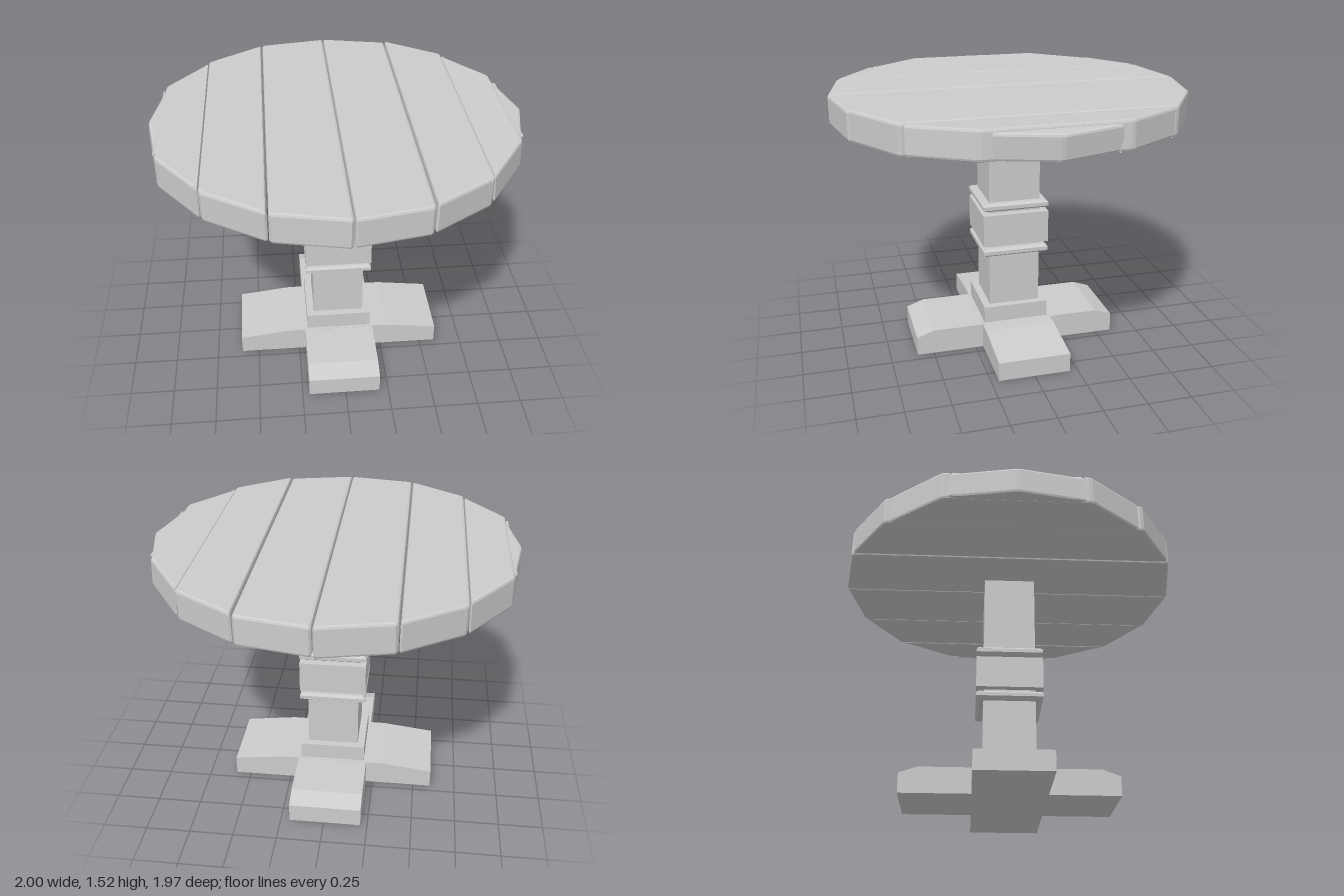
import * as THREE from 'three';

const material = new THREE.MeshStandardMaterial({ color: 0xcccccc, flatShading: true });

function addMesh(group, name, geometry) {
  const mesh = new THREE.Mesh(geometry, material);
  mesh.name = name;
  group.add(mesh);
  return mesh;
}

// Cut every corner of a plan polygon so the upright edges are eased too
function easedShape(corners, cut) {
  const pts = corners.map(([x, z]) => new THREE.Vector2(x, z));
  const eased = [];
  pts.forEach((p, i) => {
    for (const q of [pts.at(i - 1), pts[(i + 1) % pts.length]]) {
      eased.push(p.clone().add(q.clone().sub(p).setLength(cut)));
    }
  });
  return new THREE.Shape(eased);
}

// Bevelled board lying flat, centred on its own middle so it can be rolled slightly
function addPlank(group, { x0, z0, x1, z1, y0, y1, roll }) {
  const mid = (x0 + x1) / 2, half = (x1 - x0) / 2, bevel = 0.014;
  const corners = [];
  if (z0 > 0) corners.push([-half, z0], [-half, -z0]);
  else corners.push([-half, 0]);
  if (z1 > 0) corners.push([half, -z1], [half, z1]);
  else corners.push([half, 0]);
  const depth = y1 - y0;
  const geometry = new THREE.ExtrudeGeometry(easedShape(corners, 0.012), {
    depth: depth - 2 * bevel, bevelThickness: bevel, bevelSize: bevel,
    bevelOffset: -bevel, bevelSegments: 2,
  });
  geometry.translate(0, 0, bevel - depth / 2).rotateX(-Math.PI / 2);
  const mesh = addMesh(group, 'plank', geometry);
  mesh.position.set(mid, (y0 + y1) / 2, 0);
  mesh.rotation.z = roll;
}

// Square turned section from [half width, height] pairs, bottom to top
function addSquareSection(group, name, profile) {
  const points = profile.map(([w, y]) => new THREE.Vector2(w * Math.SQRT2, y));
  const geometry = new THREE.LatheGeometry(points, 4).rotateY(Math.PI / 4);
  addMesh(group, name, geometry);
}

// Foot beam with sloping ends, running along x
function footBeam(length, width, flat, endHeight, height) {
  const shape = new THREE.Shape([
    [-length, 0], [length, 0], [length, endHeight],
    [flat, height], [-flat, height], [-length, endHeight],
  ].map(([x, y]) => new THREE.Vector2(x, y)));
  return new THREE.ExtrudeGeometry(shape, { depth: 2 * width, bevelEnabled: false })
    .translate(0, 0, -width);
}

export function createModel() {
  const model = new THREE.Group();
  model.name = 'roundTable';

  // Round top of eight boards, each a little uneven
  const top = new THREE.Group();
  top.name = 'tableTop';
  const planks = [
    { x0: -1, z0: 0, x1: -0.935, z1: 0.37, y0: 1.355, y1: 1.512, roll: -0.03 },
    { x0: -0.935, z0: 0.39, x1: -0.71, z1: 0.685, y0: 1.347, y1: 1.52, roll: -0.02 },
    { x0: -0.705, z0: 0.705, x1: -0.393, z1: 0.91, y0: 1.353, y1: 1.52, roll: 0.008 },
    { x0: -0.387, z0: 0.915, x1: -0.008, z1: 0.988, y0: 1.351, y1: 1.518, roll: -0.014 },
    { x0: -0.002, z0: 0.988, x1: 0.372, z1: 0.915, y0: 1.353, y1: 1.515, roll: -0.006 },
    { x0: 0.378, z0: 0.912, x1: 0.692, z1: 0.705, y0: 1.355, y1: 1.52, roll: -0.014 },
    { x0: 0.697, z0: 0.69, x1: 0.915, z1: 0.375, y0: 1.363, y1: 1.517, roll: 0.055 },
    { x0: 0.915, z0: 0.33, x1: 0.997, z1: 0, y0: 1.365, y1: 1.502, roll: -0.08 },
  ];
  planks.forEach((plank) => addPlank(top, plank));
  model.add(top);

  // Square pedestal
  const pedestal = new THREE.Group();
  pedestal.name = 'pedestal';
  addSquareSection(pedestal, 'post', [[0.148, 0.2], [0.148, 1.37]]);
  addSquareSection(pedestal, 'plinth', [[0, 0.11], [0.19, 0.11], [0.19, 0.245], [0, 0.245]]);
  addSquareSection(pedestal, 'collar', [[0.14, 0.63], [0.19, 0.63], [0.19, 0.817], [0.14, 0.817]]);
  for (const y of [0.562, 0.836]) {
    addSquareSection(pedestal, 'collarRing', [
      [0.14, y], [0.172, y], [0.19, y + 0.013], [0.19, y + 0.034],
      [0.176, y + 0.046], [0.14, y + 0.046],
    ]);
  }
  pedestal.position.x = -0.006;
  model.add(pedestal);

  // Crossed feet
  const feet = new THREE.Group();
  feet.name = 'crossFeet';
  addMesh(feet, 'sideFootBeam', footBeam(0.595, 0.205, 0.29, 0.11, 0.148));
  addMesh(feet, 'frontFootBeam', footBeam(0.595, 0.205, 0.495, 0.11, 0.146)).rotation.y = Math.PI / 2;
  feet.position.x = -0.006;
  model.add(feet);

  return model;
}
